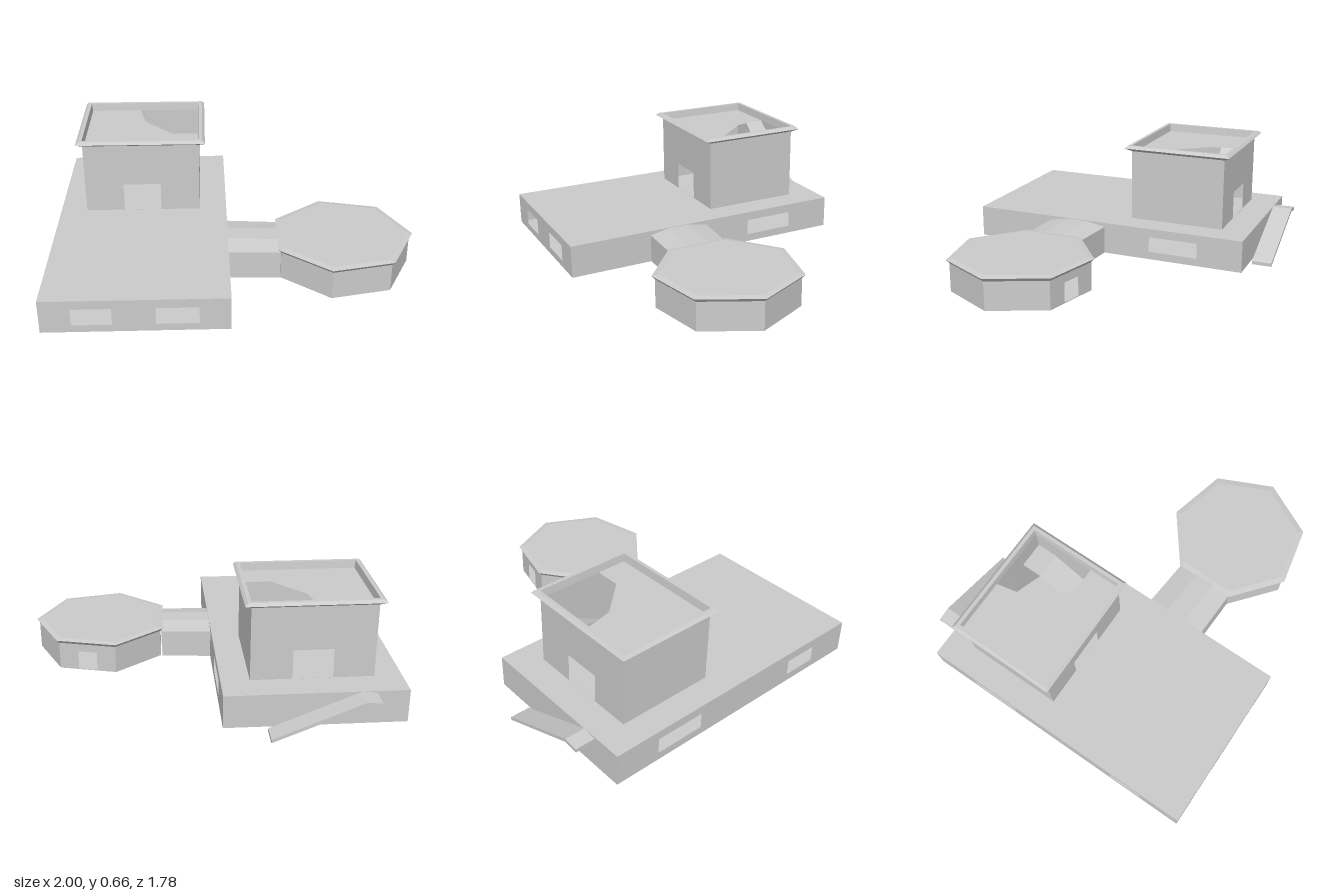
import * as THREE from 'three';

const mat = new THREE.MeshStandardMaterial({ color: 0xcccccc, flatShading: true, side: THREE.DoubleSide });

function add(parent, geometry, name) {
  const mesh = new THREE.Mesh(geometry, mat);
  mesh.name = name;
  parent.add(mesh);
  return mesh;
}

const polygon = (pts) => new THREE.Shape(pts.map(([x, y]) => new THREE.Vector2(x, y)));

// Upright sheet from a to b (x, z); holes are [start, end, bottom, top] measured along the wall
function wall(parent, name, a, b, y0, y1, holes = []) {
  const dx = b[0] - a[0], dz = b[1] - a[1], len = Math.hypot(dx, dz);
  const shape = polygon([[0, y0], [len, y0], [len, y1], [0, y1]]);
  for (const [s, e, lo, hi] of holes) {
    shape.holes.push(new THREE.Path([[s, lo], [s, hi], [e, hi], [e, lo]].map((p) => new THREE.Vector2(...p))));
  }
  const mesh = add(parent, new THREE.ShapeGeometry(shape), name);
  mesh.position.set(a[0], 0, a[1]);
  mesh.rotation.y = Math.atan2(-dz, dx);
}

// Horizontal sheet from (x, z) corners
function slab(parent, name, pts, y) {
  const g = new THREE.ShapeGeometry(polygon(pts.map(([x, z]) => [x, -z])));
  add(parent, g.rotateX(-Math.PI / 2).translate(0, y, 0), name);
}

// Joins closed rings of [x, y, z] points into bands
function loft(rings) {
  const n = rings[0].length, index = [];
  for (let r = 0; r < rings.length - 1; r++) {
    for (let i = 0; i < n; i++) {
      const a = r * n + i, b = r * n + (i + 1) % n;
      index.push(a, a + n, b, b, a + n, b + n);
    }
  }
  const g = new THREE.BufferGeometry();
  g.setAttribute('position', new THREE.Float32BufferAttribute(rings.flat(2), 3));
  g.setIndex(index);
  const flat = g.toNonIndexed();
  flat.computeVertexNormals();
  return flat;
}

const rect = (x0, x1, z0, z1) => [[x0, z1], [x1, z1], [x1, z0], [x0, z0]];
const atHeight = (pts, y) => pts.map(([x, z]) => [x, y, z]);

function mainBlock() {
  const g = new THREE.Group();
  g.name = 'mainBlock';
  const c = rect(-1, -0.035, -0.775, 0.89);
  wall(g, 'frontWall', c[0], c[1], 0.03, 0.215, [[0.16, 0.365, 0.07, 0.165], [0.585, 0.805, 0.07, 0.165]]);
  wall(g, 'eastWall', c[1], c[2], 0.03, 0.215, [[1.11, 1.4, 0.075, 0.165]]);
  wall(g, 'backWall', c[2], c[3], 0.03, 0.215);
  wall(g, 'westWall', c[3], c[0], 0.03, 0.215, [[0.265, 0.555, 0.075, 0.165], [1.215, 1.415, 0.075, 0.165]]);
  slab(g, 'floor', c, 0.03);
  slab(g, 'roof', c, 0.215);
  return g;
}

function tower() {
  const g = new THREE.Group();
  g.name = 'tower';
  const x0 = -0.85, x1 = -0.19, z0 = -0.61, z1 = -0.05;
  const c = rect(x0, x1, z0, z1);
  const doors = [[[0.22, 0.435, 0.216, 0.38]], [], [[0.225, 0.44, 0.216, 0.38]], []];
  ['frontWall', 'eastWall', 'backWall', 'westWall'].forEach((name, i) =>
    wall(g, name, c[i], c[(i + 1) % 4], 0.215, 0.63, doors[i]));
  // Roof deck, cut away over the ramp
  slab(g, 'deck', [[x0, z1], [x1, z1], [x1, -0.23], [-0.34, -0.23], [-0.51, -0.42], [-0.55, z0], [x0, z0]], 0.615);
  // Flared rim
  const profile = [[0, 0.625], [0.035, 0.645], [0.02, 0.66], [0, 0.66], [-0.005, 0.615]];
  add(g, loft(profile.map(([o, y]) => atHeight(rect(x0 - o, x1 + o, z0 - o, z1 + o), y))), 'rim');
  // Inner ramp: first flight, landing, second flight
  const sheet = (pts, name) => add(g, loft([pts.slice(0, 2), pts.slice(2)]), name);
  sheet([[-0.34, 0.216, -0.06], [x1, 0.216, -0.06], [-0.34, 0.45, -0.51], [x1, 0.45, -0.51]], 'lowerFlight');
  slab(g, 'landing', rect(-0.34, x1, z0, -0.49), 0.45);
  sheet([[-0.34, 0.45, -0.49], [-0.34, 0.45, z0], [-0.53, 0.614, -0.49], [-0.55, 0.614, z0]], 'upperFlight');
  return g;
}

function pavilion() {
  const g = new THREE.Group();
  g.name = 'pavilion';
  const ring = (r) => Array.from({ length: 7 }, (_, i) => {
    const a = i * Math.PI * 2 / 7 + 0.02;
    return [0.6 + r * Math.cos(a), 0.265 + r * Math.sin(a)];
  });
  const c = ring(0.383);
  const len = Math.hypot(c[1][0] - c[0][0], c[1][1] - c[0][1]);
  for (let i = 0; i < 7; i++) {
    const door = i === 5 ? [[len / 2 - 0.055, len / 2 + 0.055, 0.035, 0.145]] : [];
    wall(g, 'sideWall', c[i], c[(i + 1) % 7], 0.03, 0.19, door);
  }
  slab(g, 'floor', c, 0.03);
  // Flared eave and shallow roof bevel
  add(g, loft([[0.383, 0.19], [0.4, 0.209], [0.365, 0.215]].map(([r, y]) => atHeight(ring(r), y))), 'eave');
  slab(g, 'roof', ring(0.365), 0.215);
  return g;
}

// Slightly skewed passage with sloping roof edges
function passage() {
  const section = (x, zs) => [[x, 0.03, zs[0]], [x, 0.19, zs[0]], [x, 0.212, zs[1]],
    [x, 0.212, zs[2]], [x, 0.19, zs[3]], [x, 0.03, zs[3]]];
  return loft([section(-0.035, [0.06, 0.18, 0.3, 0.415]), section(0.25, [0.085, 0.2, 0.315, 0.425])]);
}

export function createModel() {
  const model = new THREE.Group();
  model.name = 'building';
  model.add(mainBlock(), tower(), pavilion());
  add(model, passage(), 'passage');
  // Back ramp from the ground to the main roof
  const side = polygon([[-0.27, 0], [-0.27, 0.02], [-0.75, 0.215], [-0.83, 0.205], [-0.83, 0.185], [-0.75, 0.195]]);
  const ramp = new THREE.ExtrudeGeometry(side, { depth: 0.115, bevelEnabled: false });
  add(model, ramp.translate(0, 0, -0.89), 'backRamp');
  return model;
}
